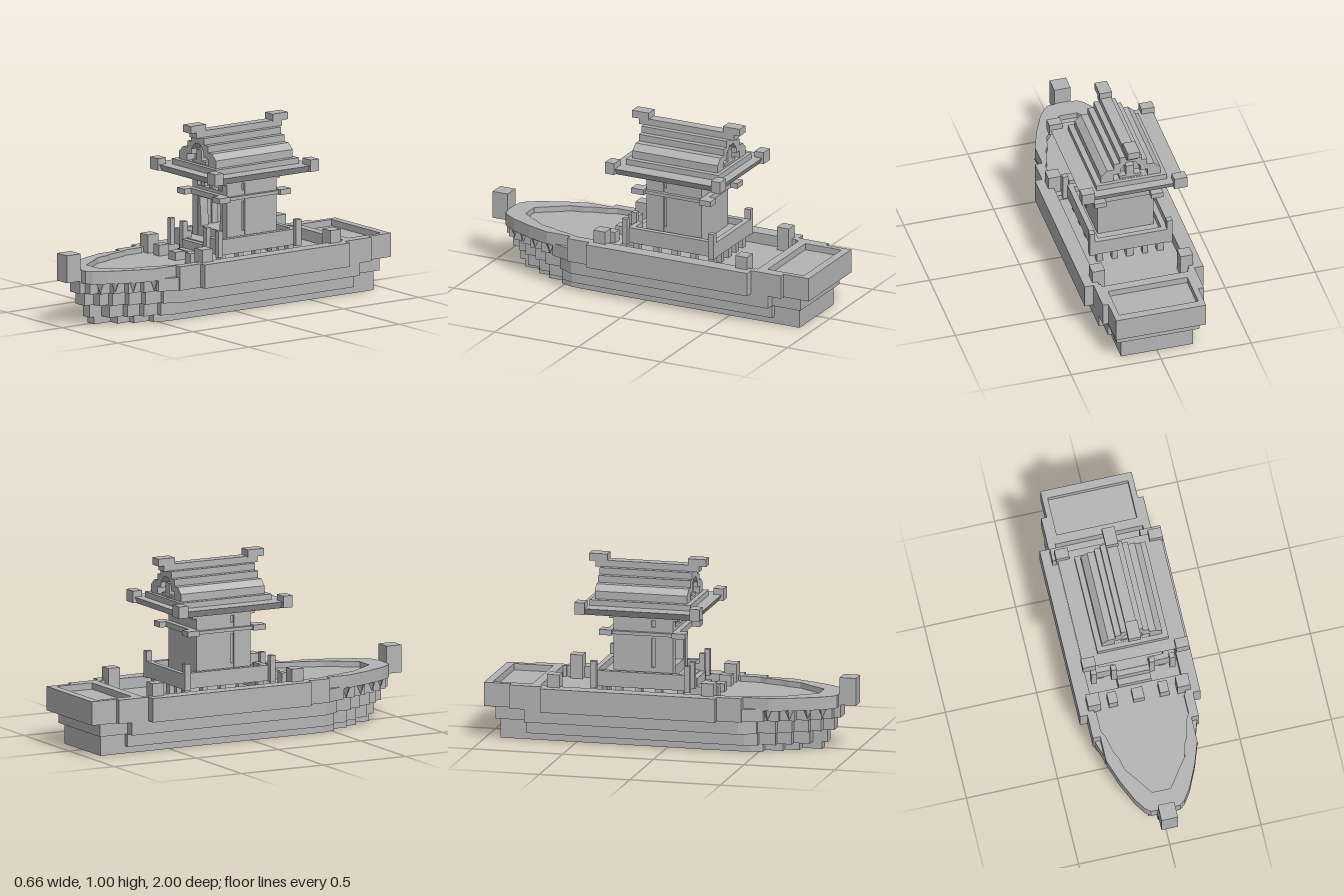
import * as THREE from 'three';

const grey = new THREE.MeshStandardMaterial({ color: 0xb4b4b4 });
grey.name = 'plain grey';
grey.flatShading = true;

export function createModel() {
  const model = new THREE.Group();
  model.name = 'templeBoat';

  const group = (name) => {
    const g = new THREE.Group();
    g.name = name;
    model.add(g);
    return g;
  };
  // box given by its limits
  const box = (parent, name, x0, x1, y0, y1, z0, z1) => {
    const m = new THREE.Mesh(new THREE.BoxGeometry(x1 - x0, y1 - y0, z1 - z0), grey);
    m.position.set((x0 + x1) / 2, (y0 + y1) / 2, (z0 + z1) / 2);
    m.name = name;
    parent.add(m);
    return m;
  };
  // the same box on both sides
  const pair = (parent, name, x0, x1, ...rest) => {
    box(parent, name, x0, x1, ...rest);
    box(parent, name, -x1, -x0, ...rest);
  };
  // closed outline from its right half
  const mirrored = (half) => [...half, ...half.slice().reverse().map(([x, v]) => [-x, v])]
    .map(([x, v]) => new THREE.Vector2(x, v));
  // horizontal slab from a half outline in x and z
  const slab = (parent, name, half, y0, y1, hole) => {
    const shape = new THREE.Shape(mirrored(half));
    if (hole) shape.holes.push(new THREE.Path(mirrored(hole)));
    const g = new THREE.ExtrudeGeometry(shape, { depth: y1 - y0, bevelEnabled: false });
    g.rotateX(Math.PI / 2).translate(0, y1, 0);
    const m = new THREE.Mesh(g, grey);
    m.name = name;
    parent.add(m);
  };
  // turns a tapering run of points into a staircase
  const stairs = (pts) => pts.flatMap((p, i) => (i ? [[p[0], pts[i - 1][1]], p] : [p]));

  // ---- hull layers, keel upwards
  const hull = group('hull');
  slab(hull, 'keelLayer', [[0.2, -0.92], [0.2, 0.25], [0.195, 0.45],
    ...stairs([[0.17, 0.52], [0.13, 0.62], [0.09, 0.7], [0.03, 0.81]])], 0, 0.04);
  slab(hull, 'lowerLayer', [[0.2, -0.92], [0.2, -0.77], [0.23, -0.77], [0.23, 0.43],
    ...stairs([[0.21, 0.5], [0.18, 0.59], [0.14, 0.67], [0.1, 0.76], [0.03, 0.84]])], 0.04, 0.11);
  slab(hull, 'middleLayer', [[0.23, -0.94], [0.23, -0.77], [0.28, -0.77], [0.28, 0.41],
    ...stairs([[0.235, 0.5], [0.21, 0.6], [0.17, 0.68], [0.13, 0.76], [0.09, 0.82], [0.04, 0.88]])],
  0.11, 0.18);
  slab(hull, 'upperLayer', [[0.25, -1], [0.25, -0.85], [0.28, -0.85], [0.28, 0.43],
    ...stairs([[0.245, 0.54], [0.22, 0.62], [0.19, 0.7], [0.155, 0.77], [0.12, 0.83], [0.09, 0.88]])],
  0.18, 0.25);

  // bulwark around the whole deck
  slab(hull, 'bulwark',
    [[0.25, -0.74], [0.28, -0.74], [0.28, 0.43], [0.25, 0.43], [0.25, 0.57], [0.205, 0.7],
      [0.15, 0.82], [0.11, 0.88], [0.08, 0.905]],
    0.24, 0.31,
    [[0.25, -0.69], [0.25, 0.38], [0.22, 0.44], [0.2, 0.53], [0.18, 0.57], [0.165, 0.64],
      [0.12, 0.7], [0.08, 0.76], [0.05, 0.8]]);
  pair(hull, 'sideWall', 0.27, 0.33, 0.18, 0.31, -0.67, 0.295);
  pair(hull, 'sideBlock', 0.24, 0.29, 0.18, 0.31, 0.29, 0.43);
  pair(hull, 'sternSideBlock', 0.24, 0.28, 0.18, 0.31, -0.85, -0.67);
  slab(hull, 'foredeck', [[0.255, 0.17], [0.255, 0.38], [0.225, 0.44], [0.205, 0.53],
    [0.185, 0.57], [0.17, 0.64], [0.125, 0.7], [0.085, 0.77], [0.05, 0.82]], 0.24, 0.28);
  slab(hull, 'sternTray', [[0.25, -1], [0.25, -0.7]], 0.24, 0.31, [[0.22, -0.955], [0.22, -0.74]]);
  box(hull, 'sternFloor', -0.23, 0.23, 0.24, 0.275, -0.97, -0.72);

  // hanging wedges along the bow
  for (const s of [-1, 1]) {
    [[0.245, 0.58], [0.205, 0.69], [0.165, 0.78], [0.125, 0.85]].forEach(([x, z]) => {
      const w = new THREE.Mesh(new THREE.ConeGeometry(0.026, 0.06, 4), grey);
      w.rotation.x = Math.PI;
      w.position.set(s * (x - 0.012), 0.215, z - 0.02);
      w.name = 'bowWedge';
      hull.add(w);
    });
  }

  // stem post and its foot
  box(hull, 'stemPost', -0.045, 0.045, 0.25, 0.4, 0.91, 1);
  box(hull, 'stemNeck', -0.045, 0.045, 0.18, 0.31, 0.84, 0.915);
  box(hull, 'stemFoot', -0.03, 0.03, 0, 0.12, 0.75, 0.81);

  // ---- deck fittings
  const fittings = group('deckFittings');
  pair(fittings, 'frontBollard', 0.21, 0.28, 0.25, 0.38, 0.205, 0.275);
  pair(fittings, 'rearBollard', 0.21, 0.28, 0.25, 0.38, -0.645, -0.575);
  pair(fittings, 'smallBlock', 0.115, 0.165, 0.27, 0.34, 0.205, 0.27);
  box(fittings, 'centreBlock', -0.03, 0.03, 0.27, 0.325, 0.205, 0.27);

  // ---- raised platform on stubs, with a rim and corner posts
  const platform = group('platform');
  for (const z of [-0.4, -0.29, -0.18, -0.07, 0.05]) {
    pair(platform, 'stub', 0.15, 0.185, 0.24, 0.32, z, z + 0.035);
  }
  box(platform, 'rearStub', -0.02, 0.02, 0.24, 0.32, -0.4, -0.365);
  pair(platform, 'rearStub', 0.07, 0.1, 0.24, 0.32, -0.4, -0.365);
  box(platform, 'platformFloor', -0.205, 0.205, 0.315, 0.365, -0.42, 0.105);
  pair(platform, 'sideRim', 0.175, 0.205, 0.32, 0.4, -0.42, 0.105);
  box(platform, 'rearRim', -0.2, 0.2, 0.32, 0.4, -0.42, -0.39);
  pair(platform, 'frontRim', 0.09, 0.2, 0.32, 0.4, 0.075, 0.105);
  pair(platform, 'cornerPost', 0.2, 0.23, 0.31, 0.455, 0.1, 0.13);
  pair(platform, 'stairPost', 0.09, 0.12, 0.31, 0.455, 0.1, 0.13);
  pair(platform, 'rearPost', 0.2, 0.23, 0.31, 0.455, -0.42, -0.385);
  box(platform, 'upperStep', -0.09, 0.09, 0.25, 0.36, 0.1, 0.135);
  box(platform, 'lowerStep', -0.09, 0.09, 0.25, 0.315, 0.13, 0.17);

  // ---- cabin, open at the front
  const cabin = group('cabin');
  box(cabin, 'cabinFloor', -0.15, 0.15, 0.36, 0.42, -0.3, 0.015);
  box(cabin, 'backWall', -0.155, 0.155, 0.36, 0.72, -0.31, -0.24);
  pair(cabin, 'sideWall', 0.11, 0.155, 0.36, 0.72, -0.31, -0.1);
  pair(cabin, 'frontSideWall', 0.11, 0.155, 0.36, 0.72, -0.08, 0.02);
  pair(cabin, 'innerSideWall', 0.1, 0.14, 0.36, 0.7, -0.11, -0.07);
  box(cabin, 'lintel', -0.15, 0.15, 0.58, 0.64, -0.25, 0.02);
  box(cabin, 'windowBack', -0.12, 0.12, 0.63, 0.7, -0.25, -0.04);
  box(cabin, 'topLintel', -0.15, 0.15, 0.68, 0.72, -0.3, 0.02);
  for (const x of [-0.075, 0, 0.075]) {
    box(cabin, 'windowBracket', x - 0.015, x + 0.015, 0.635, 0.67, -0.05, 0.01);
  }
  // tapering door jambs
  for (const s of [-1, 1]) {
    const shape = new THREE.Shape([[0.08, 0.4], [0.115, 0.4], [0.115, 0.58], [0.082, 0.58]]
      .map(([x, y]) => new THREE.Vector2(s * x + (y > 0.5 && x < 0.1 ? s * 0.012 : 0), y)));
    const g = new THREE.ExtrudeGeometry(shape, { depth: 0.05, bevelEnabled: false });
    const m = new THREE.Mesh(g.translate(0, 0, -0.035), grey);
    m.name = 'doorJamb';
    cabin.add(m);
  }
  // crossing beams
  box(cabin, 'frontBeam', -0.19, 0.19, 0.592, 0.622, 0.02, 0.05);
  box(cabin, 'backBeam', -0.19, 0.19, 0.592, 0.622, -0.34, -0.31);
  pair(cabin, 'sideBeam', 0.15, 0.175, 0.597, 0.615, -0.37, 0.08);
  for (const z of [0.035, -0.38]) pair(cabin, 'beamEnd', 0.125, 0.19, 0.592, 0.622, z, z + 0.06);
  // flared collar below the roof
  box(cabin, 'lowerCollar', -0.155, 0.155, 0.68, 0.72, -0.335, 0.045, 0);
  box(cabin, 'upperCollar', -0.175, 0.175, 0.705, 0.725, -0.37, 0.075);

  // ---- roof
  const roof = group('roof');
  // eave slab, narrower underneath
  const eave = box(roof, 'eaveSlab', -0.285, 0.285, 0.715, 0.752, -0.48, 0.19);
  const p = eave.geometry.attributes.position;
  for (let i = 0; i < p.count; i++) {
    if (p.getY(i) < 0) p.setXYZ(i, p.getX(i) * 0.92, p.getY(i), p.getZ(i) * 0.94);
  }
  eave.geometry.computeVertexNormals();
  box(roof, 'eaveStep', -0.195, 0.195, 0.75, 0.783, -0.43, 0.125);
  for (const z of [-0.49, 0.145]) pair(roof, 'eaveCorner', 0.22, 0.292, 0.72, 0.785, z, z + 0.055);

  // stepped gable with hollow ends
  const gable = new THREE.Shape(mirrored([[0.165, 0.76], [0.165, 0.825], [0.13, 0.857], [0.092, 0.857],
    [0.092, 0.894], [0.06, 0.894], [0.06, 0.93]]));
  gable.holes.push(new THREE.Path(mirrored([[0.095, 0.785], [0.095, 0.825], [0.055, 0.825],
    [0.055, 0.855], [0.022, 0.892]])));
  const gableMesh = new THREE.Mesh(
    new THREE.ExtrudeGeometry(gable, { depth: 0.51, bevelEnabled: false }).translate(0, 0, -0.41), grey);
  gableMesh.name = 'gable';
  roof.add(gableMesh);
  box(roof, 'gableFill', -0.1, 0.1, 0.78, 0.893, -0.36, 0.05).scale.x = 0.9;
  for (const z of [-0.4, 0.04]) {
    box(roof, 'gablePost', -0.022, 0.022, 0.78, 0.86, z, z + 0.05);
    box(roof, 'gableSill', -0.06, 0.06, 0.78, 0.8, z, z + 0.05);
  }

  // ridge beam and upturned ends
  box(roof, 'ridge', -0.03, 0.03, 0.928, 0.965, -0.44, 0.13);
  for (const z of [-0.475, 0.07]) box(roof, 'ridgeEnd', -0.034, 0.034, 0.96, 1, z, z + 0.1);
  return model;
}
